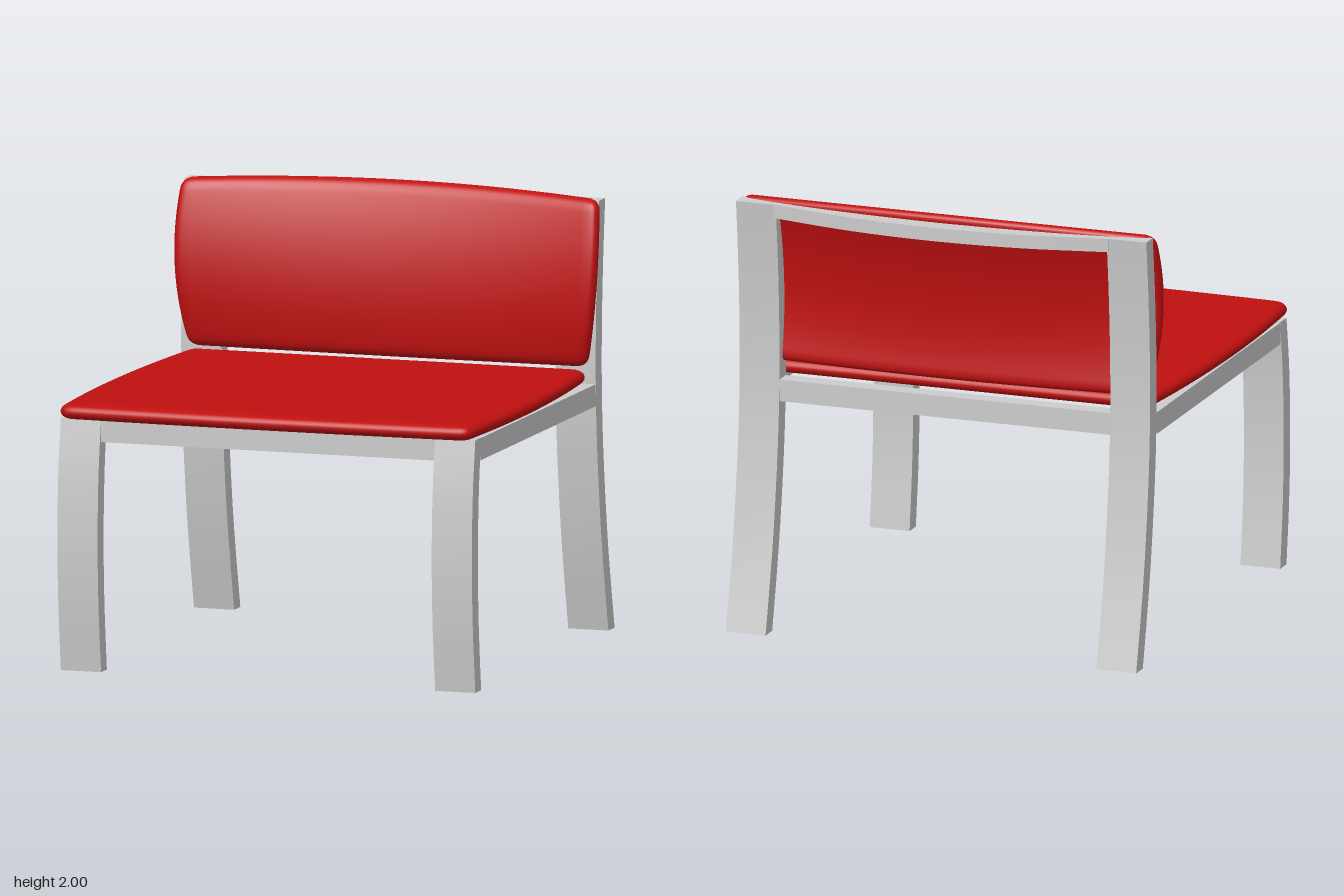
import * as THREE from 'three';
import { mergeVertices, toCreasedNormals } from 'three/addons/utils/BufferGeometryUtils.js';

const frameMat = new THREE.MeshStandardMaterial({ color: 0xcccccc });
const padMat = new THREE.MeshStandardMaterial({ color: 0xc01010 });

function add(group, name, geometry, material) {
  const mesh = new THREE.Mesh(geometry, material);
  mesh.name = name;
  group.add(mesh);
  return mesh;
}

// Closed outline between two smooth edges, each given as [x, y] points
function bandShape(edgeA, edgeB) {
  const smooth = (pts) =>
    new THREE.SplineCurve(pts.map((p) => new THREE.Vector2(...p))).getPoints(20);
  return new THREE.Shape([...smooth(edgeA), ...smooth(edgeB).reverse()]);
}

function extrude(shape, depth) {
  const geo = new THREE.ExtrudeGeometry(shape, { depth, bevelEnabled: false });
  return geo.translate(0, 0, -depth / 2);
}

// Side profile in (z, y) turned into a leg of the given width across x
function legGeometry(front, back, width) {
  const geo = extrude(bandShape(back, front), width).rotateY(-Math.PI / 2);
  return toCreasedNormals(geo, 0.5);
}

// Box with rounded edges (half sizes h, edge radii r), then bent by warp(v)
function padGeometry(h, r, segments, warp) {
  const geo = new THREE.BoxGeometry(2, 2, 2, ...segments);
  geo.deleteAttribute('uv');
  geo.deleteAttribute('normal');
  const pos = geo.attributes.position;
  const v = new THREE.Vector3();
  const d = new THREE.Vector3();
  for (let i = 0; i < pos.count; i++) {
    v.fromBufferAttribute(pos, i);
    for (const k of ['x', 'y', 'z']) {
      const p = Math.sin((v[k] * Math.PI) / 2) * h[k]; // denser rows near the edges
      v[k] = THREE.MathUtils.clamp(p, r[k] - h[k], h[k] - r[k]);
      d[k] = (p - v[k]) / r[k];
    }
    v.add(d.normalize().multiply(r));
    warp(v);
    pos.setXYZ(i, v.x, v.y, v.z);
  }
  const merged = mergeVertices(geo, 1e-5);
  merged.computeVertexNormals();
  return merged;
}

export function createModel() {
  const chair = new THREE.Group();
  chair.name = 'chair';

  // Curved legs; the back pair continue upward as posts
  const frontLeg = legGeometry(
    [[0.915, 0], [0.95, 0.3], [0.963, 0.6], [0.95, 0.9], [0.915, 1.145]],
    [[0.835, 0], [0.868, 0.3], [0.88, 0.6], [0.867, 0.9], [0.835, 1.145]],
    0.19
  );
  const backLeg = legGeometry(
    [[-0.915, 0], [-0.825, 0.4], [-0.765, 0.8], [-0.742, 1.1], [-0.742, 1.4], [-0.76, 1.7], [-0.787, 1.967]],
    [[-1, 0], [-0.908, 0.4], [-0.848, 0.8], [-0.825, 1.1], [-0.825, 1.4], [-0.843, 1.7], [-0.87, 1.967]],
    0.19
  );
  for (const [side, s] of [['left', 1], ['right', -1]]) {
    add(chair, side + 'FrontLeg', frontLeg, frameMat).position.x = s * 0.885;
    add(chair, side + 'BackLeg', backLeg, frameMat).position.x = s * 0.885;
    // Rail under the side of the seat
    const sideRail = new THREE.BoxGeometry(0.085, 0.1, 1.585);
    add(chair, side + 'SideRail', sideRail, frameMat).position.set(s * 0.937, 1.093, 0.05);
  }

  // Rails under the front and back of the seat
  for (const [name, z] of [['frontRail', 0.875], ['backRail', -0.783]]) {
    const rail = new THREE.BoxGeometry(1.6, 0.1, 0.08);
    add(chair, name, rail, frameMat).position.set(0, 1.093, z);
  }

  // Bowed top rail between the posts, drawn in plan as (x, -z)
  const bow = (depth) =>
    [-0.8, -0.4, 0, 0.4, 0.8].map((x) => [x, depth - 0.105 * (x / 0.8) ** 2]);
  const topRail = extrude(bandShape(bow(0.89), bow(0.975)), 0.062).rotateX(-Math.PI / 2);
  add(chair, 'topRail', toCreasedNormals(topRail, 0.5), frameMat).position.y = 1.936;

  // Seat pad, tapering to the back with a bowed front edge
  const seat = padGeometry(
    new THREE.Vector3(1, 0.036, 0.8575),
    new THREE.Vector3(0.06, 0.036, 0.06),
    [32, 10, 32],
    (v) => {
      v.z += 0.1175;
      v.x *= 1 - 0.055 * (v.z - 0.3) ** 2;
      v.z += 0.025 * (1 - v.x * v.x) * Math.max(0, v.z);
      v.y += 1.178;
    }
  );
  add(chair, 'seatPad', seat, padMat);

  // Back pad, bulging forward at mid height and hollow across its width
  const back = padGeometry(
    new THREE.Vector3(1, 0.377, 0.04),
    new THREE.Vector3(0.05, 0.045, 0.04),
    [32, 28, 10],
    (v) => {
      const y = v.y + 1.597;
      const hollow = 1 - v.x * v.x;
      v.x *= 1 - 0.24 * (y - 1.72) ** 2;
      v.z += -0.7 - 0.42 * (y - 1.55) ** 2 - hollow * (0.055 + 0.08 * (y - 1.55));
      v.y = y + hollow * (y > 1.6 ? 0.07 : 0.02) * (y - 1.6);
    }
  );
  add(chair, 'backPad', back, padMat);

  return chair;
}
